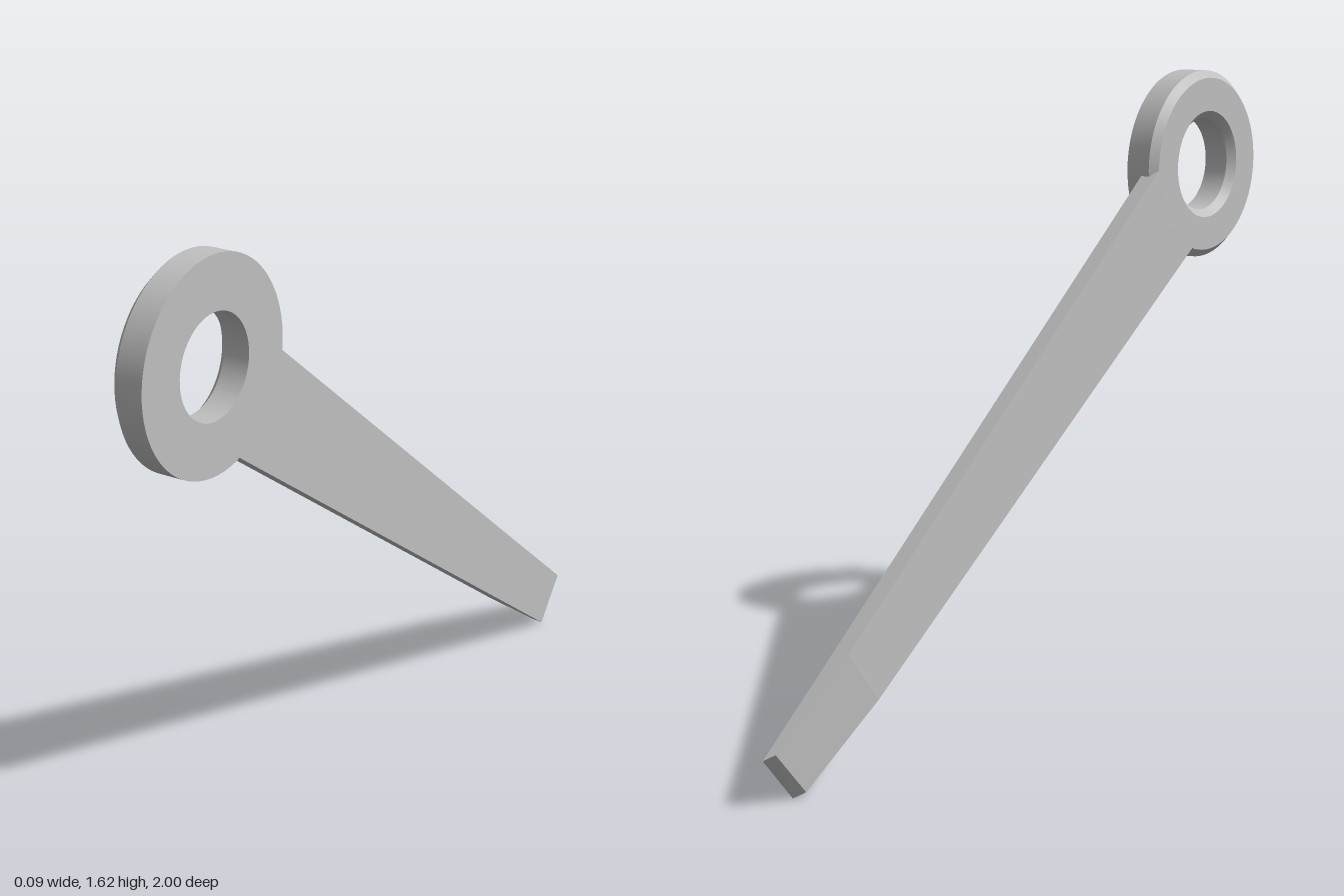
import * as THREE from 'three';
import { toCreasedNormals } from 'three/addons/utils/BufferGeometryUtils.js';
import { ConvexGeometry } from 'three/addons/geometries/ConvexGeometry.js';

const HALF = 0.045;                       // half thickness of the ring
const EYE = { y: 1.357, z: 0.742 };       // ring centre
const OUTER = 0.258, INNER = 0.127, BEVEL = 0.02;

export function createModel() {
  const group = new THREE.Group();
  const grey = new THREE.MeshStandardMaterial({ color: 0xc0c0c0 });
  grey.name = 'plain grey';

  const add = (name, geometry) => {
    const mesh = new THREE.Mesh(geometry, grey);
    mesh.name = name;
    group.add(mesh);
    return mesh;
  };

  // Ring: closed profile turned about x, bevelled on its -x rims
  const profile = [
    [INNER, -HALF + BEVEL], [INNER + BEVEL, -HALF], [OUTER - BEVEL, -HALF],
    [OUTER, -HALF + BEVEL], [OUTER, HALF], [INNER, HALF], [INNER, -HALF + BEVEL],
  ].map(([r, h]) => new THREE.Vector2(r, h));
  const ringGeometry = toCreasedNormals(new THREE.LatheGeometry(profile, 72), 0.5);
  ringGeometry.rotateZ(-Math.PI / 2);
  add('ring', ringGeometry).position.set(0, EYE.y, EYE.z);

  // Arm: flat tapered bar, drawn with u = -z, rounded to meet the ring's flat face
  const creaseTop = [0.757, 0.319], creaseBottom = [0.652, 0.181];
  const arm = new THREE.Shape();
  arm.moveTo(...creaseBottom);
  arm.lineTo(...creaseTop);
  arm.absarc(-EYE.z, EYE.y, OUTER - BEVEL, 0, -1.267, true);
  arm.closePath();
  const armGeometry = new THREE.ExtrudeGeometry(arm, { depth: HALF, bevelEnabled: false, curveSegments: 16 });
  armGeometry.rotateY(Math.PI / 2);
  armGeometry.translate(-HALF, 0, 0);
  add('arm', armGeometry);

  // Tip: thins on the -x side and ends in a slanted edge
  const section = (x, ...corners) => corners.map(([u, y]) => new THREE.Vector3(x, y, -u));
  add('armTip', new ConvexGeometry([
    ...section(0, creaseTop, creaseBottom, [1, 0.12], [0.905, 0]),
    ...section(-HALF, creaseTop, creaseBottom),
    ...section(-0.024, [0.982, 0.135], [0.885, 0.015]),
  ]));

  return group;
}
